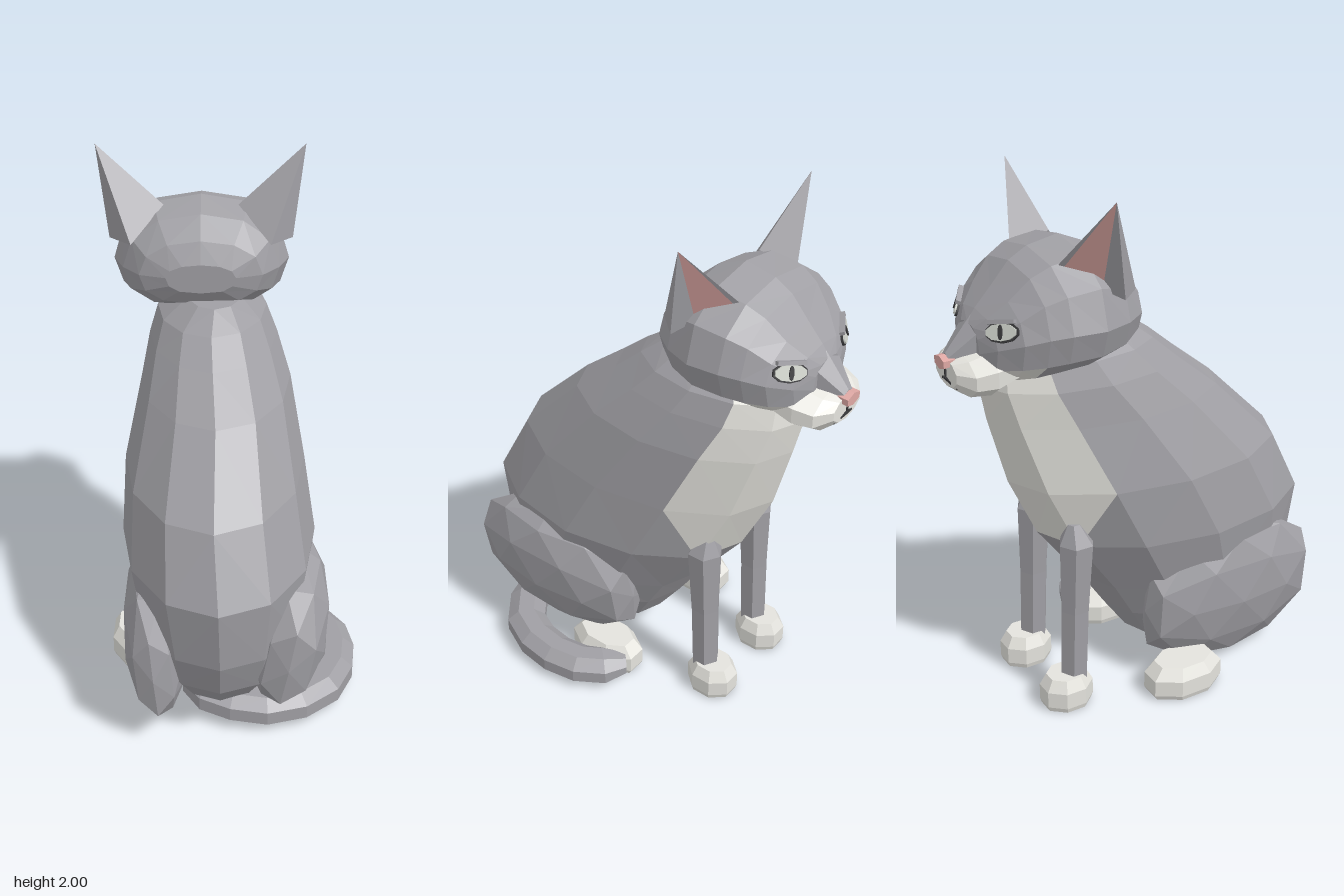
import * as THREE from 'three';

const mat = (name, color) => {
  const m = new THREE.MeshStandardMaterial({ color, side: THREE.DoubleSide });
  m.name = name;
  return m;
};

export function createModel() {
  const fur = mat('grey fur', 0xa09fa4);
  const white = mat('white fur', 0xe4e3dd);
  const pink = mat('pink skin', 0xdea8a4);
  const dark = mat('dark lines', 0x38383a);
  const iris = mat('pale eye', 0xcfd2cb);
  const cat = new THREE.Group();
  cat.name = 'sittingCat';
  const V = (x, y, z) => new THREE.Vector3(x, y, z);
  const HX = -0.11; // head centre line

  const add = (name, geo, material, parent = cat) => {
    const mesh = new THREE.Mesh(geo, material);
    mesh.name = name;
    parent.add(mesh);
    return mesh;
  };

  // Flat-shaded mesh from a list of triangles
  const flat = (points) => {
    const g = new THREE.BufferGeometry().setFromPoints(points);
    g.computeVertexNormals();
    return g;
  };

  const ring = (n, f) => Array.from({ length: n }, (_, j) => f((j / n) * Math.PI * 2));

  // Closed loft through rings of equal size; pick() chooses a material per triangle
  const loft = (name, rings, pick) => {
    const n = rings[0].length, tris = [];
    const put = (m, ...p) => tris.push({ m, p });
    for (let i = 0; i < rings.length - 1; i++) for (let j = 0; j < n; j++) {
      const k = (j + 1) % n, [a, b] = [rings[i][j], rings[i][k]], [c, d] = [rings[i + 1][j], rings[i + 1][k]];
      if (j < n / 2) { put(pick(i, j, 0), a, b, c); put(pick(i, j, 1), b, d, c); }
      else { put(pick(i, j, 0), a, b, d); put(pick(i, j, 1), a, d, c); }
    }
    [0, rings.length - 1].forEach((i, end) => {
      const mid = V(0, 0, 0);
      rings[i].forEach((p) => mid.addScaledVector(p, 1 / n));
      for (let j = 0; j < n; j++) {
        const k = (j + 1) % n, m = pick(Math.min(i, rings.length - 2), j, 1);
        if (end) put(m, mid, rings[i][j], rings[i][k]); else put(m, mid, rings[i][k], rings[i][j]);
      }
    });
    // Turn every face outward
    const volume = tris.reduce((s, { p }) => s + p[0].dot(p[1].clone().cross(p[2])), 0);
    if (volume < 0) tris.forEach(({ p }) => p.reverse());
    const group = new THREE.Group();
    group.name = name;
    for (const m of new Set(tris.map((t) => t.m)))
      add(name + ' ' + m.name, flat(tris.filter((t) => t.m === m).flatMap((t) => t.p)), m, group);
    cat.add(group);
  };

  // Body: y, back z, front z, low x, high x
  const bodyRows = [
    [1.46, -0.02, -0.5, -0.18, 0.06], [1.39, 0.08, -0.6, -0.28, 0.14],
    [1.3, 0.19, -0.61, -0.31, 0.18], [1.16, 0.37, -0.58, -0.34, 0.23],
    [0.9, 0.64, -0.51, -0.4, 0.28], [0.65, 0.77, -0.39, -0.41, 0.32],
    [0.4, 0.74, -0.2, -0.36, 0.28], [0.25, 0.68, -0.1, -0.32, 0.24],
    [0.11, 0.55, 0, -0.24, 0.16]];
  loft('body', bodyRows.map(([y, zb, zf, x0, x1]) => ring(12, (a) =>
    V((x0 + x1) / 2 + (x1 - x0) / 2 * Math.sin(a), y, (zb + zf) / 2 - (zb - zf) / 2 * Math.cos(a)))),
  (i, j, t) => {
    const side = Math.min(j, 11 - j); // 0 is the front middle
    const bib = i < 4 ? side < 2 : i === 4 && (side === 0 || (side === 1 && t === 0));
    return bib ? white : fur;
  });

  // Head: z, half width, top y, widest y, bottom y; the cheeks are fuller than an ellipse
  const headRows = [
    [-0.08, 0.13, 1.61, 1.56, 1.5], [-0.115, 0.23, 1.69, 1.56, 1.445], [-0.2, 0.295, 1.765, 1.56, 1.4],
    [-0.31, 0.335, 1.81, 1.56, 1.38], [-0.43, 0.325, 1.785, 1.56, 1.37], [-0.5, 0.295, 1.745, 1.55, 1.36],
    [-0.57, 0.25, 1.665, 1.53, 1.36], [-0.63, 0.17, 1.6, 1.5, 1.36], [-0.66, 0.09, 1.56, 1.47, 1.38]];
  const full = (v, e) => Math.sign(v) * Math.abs(v) ** e;
  loft('head', headRows.map(([z, w, t, c, b]) => ring(12, (a) => {
    const up = Math.cos(a);
    return V(HX + w * full(Math.sin(a), up < 0 ? 0.7 : 0.9), c + (up > 0 ? t - c : c - b) * full(up, 0.9), z);
  })), (i, j) => (i > 4 && Math.min(j, 11 - j) > 3 ? white : fur));

  // Muzzle and nose bridge: z, half width, top y, bottom y
  const snout = (name, rows, n, m) => loft(name, rows.map(([z, w, t, b]) => ring(n, (a) =>
    V(HX + w * Math.sin(a), (t + b) / 2 + (t - b) / 2 * Math.cos(a), z))), () => m);
  snout('muzzle', [[-0.56, 0.19, 1.49, 1.35], [-0.63, 0.18, 1.49, 1.305],
    [-0.7, 0.155, 1.465, 1.31], [-0.745, 0.09, 1.445, 1.345]], 10, white);
  snout('noseBridge', [[-0.56, 0.14, 1.665, 1.46], [-0.65, 0.085, 1.575, 1.44],
    [-0.745, 0.03, 1.462, 1.42]], 6, fur);

  // Nose and mouth
  snout('nose', [[-0.725, 0.045, 1.46, 1.415], [-0.768, 0.045, 1.458, 1.41]], 6, pink);
  add('mouthCentre', new THREE.BoxGeometry(0.008, 0.05, 0.008), dark).position.set(HX, 1.392, -0.746);
  for (const s of [-1, 1]) {
    const lip = add('mouthSide', new THREE.BoxGeometry(0.07, 0.008, 0.008), dark);
    lip.position.set(HX + s * 0.034, 1.365, -0.742);
    lip.rotation.set(0, -s * 0.25, -s * 0.3);
  }

  // Eyes: layered thin ovals with a slanted upper lid
  for (const s of [-1, 1]) {
    const eye = new THREE.Group();
    eye.name = s > 0 ? 'leftEye' : 'rightEye';
    const oval = (name, w, h, z, m) => {
      const o = add(name, new THREE.CylinderGeometry(1, 1, 0.008, 10).rotateX(Math.PI / 2).toNonIndexed(), m, eye);
      o.scale.set(w, h, 1);
      o.position.z = z;
    };
    oval('eyeRim', 0.068, 0.036, 0, dark);
    oval('eyeball', 0.062, 0.029, 0.006, iris);
    oval('pupil', 0.009, 0.025, 0.011, dark);
    const lid = add('eyelid', new THREE.BoxGeometry(0.11, 0.014, 0.018), fur, eye);
    lid.position.set(0, 0.034, 0.006);
    eye.position.set(HX + s * 0.17, 1.563, -0.612);
    eye.lookAt(HX + s * 0.62, 1.9, -1.5);
    eye.rotateZ(-s * 0.2);
    cat.add(eye);
  }

  // Ears: hollow pyramids, pink on the inner wall that faces outward
  for (const s of [-1, 1]) {
    const P = (x, y, z) => V(HX + s * x, y, z);
    const T = P(0.39, 2, -0.31), A = P(0.26, 1.66, -0.16), B = P(0.14, 1.78, -0.27),
      C = P(0.17, 1.75, -0.41), D = P(0.345, 1.66, -0.25), E = P(0.24, 1.67, -0.275);
    const rim = D.clone().lerp(E, 0.2), edge = C.clone().lerp(E, 0.12);
    const faces = [[T, A, D], [T, B, A], [T, C, B], [T, edge, C], [T, D, rim], [T, rim, E], [A, E, D]];
    const inner = [T, E, edge];
    if (s < 0) [...faces, inner].forEach((f) => f.reverse());
    const name = s > 0 ? 'leftEar' : 'rightEar';
    add(name, flat(faces.flat()), fur);
    add(name + 'Inner', flat(inner), pink);
  }

  // Paws: bevelled eight-sided pads
  const paw = (name, x, z, rx, rz) => loft(name,
    [[0, 0.93], [0.02, 1], [0.085, 1], [0.13, 0.75]].map(([y, k]) => ring(8, (a) =>
      V(x + rx * k * Math.sin(a + 0.39), y, z + rz * k * Math.cos(a + 0.39)))), () => white);

  // Front legs
  [['frontLegLeft', 0.105], ['frontLegRight', -0.235]].forEach(([name, x]) => {
    loft(name, [[0.08, 0.055, -0.345], [0.4, 0.058, -0.335], [0.68, 0.07, -0.325], [0.76, 0.025, -0.335]]
      .map(([y, r, z]) => ring(6, (a) => V(x + r * Math.sin(a), y, z + r * Math.cos(a)))), () => fur);
    paw(name + 'Paw', x, -0.38, 0.09, 0.105);
  });
  paw('hindPawLeft', 0.235, 0.06, 0.1, 0.165);
  paw('hindPawRight', -0.38, 0.06, 0.105, 0.165);

  // Thighs: faceted ovals, flattened underneath and behind
  [['thighLeft', 0.205, 0.36, 0.165, 0.295, -0.18, 0.1], ['thighRight', -0.28, 0.315, 0.13, 0.31, 0.08, 0.025]]
    .forEach(([name, x, y, rx, ry, tilt, floor]) => {
      const g = new THREE.IcosahedronGeometry(1, 1);
      g.scale(rx, ry, 0.425).rotateZ(tilt).translate(x, y, 0.325);
      const p = g.attributes.position;
      for (let i = 0; i < p.count; i++) {
        p.setY(i, Math.max(p.getY(i), floor));
        p.setZ(i, THREE.MathUtils.clamp(p.getZ(i), -0.055, 0.7));
      }
      g.computeVertexNormals();
      add(name, g, fur);
    });

  // Tail curled around the left hind paw
  const path = new THREE.CatmullRomCurve3([V(-0.16, 0.1, 0.42), V(-0.02, 0.078, 0.5), V(0.17, 0.064, 0.52),
    V(0.35, 0.064, 0.41), V(0.415, 0.064, 0.22), V(0.385, 0.064, 0.04), V(0.28, 0.064, -0.07)]);
  const steps = 10;
  loft('tail', Array.from({ length: steps + 1 }, (_, i) => {
    const p = path.getPoint(i / steps), t = path.getTangent(i / steps);
    const side = V(t.z, 0, -t.x).normalize(), k = i === steps ? 0.6 : i === 0 ? 0.6 : 1;
    return ring(8, (a) => p.clone().addScaledVector(side, 0.085 * k * Math.cos(a + 0.39))
      .add(V(0, 0.068 * k * Math.sin(a + 0.39), 0)));
  }), () => fur);

  return cat;
}
